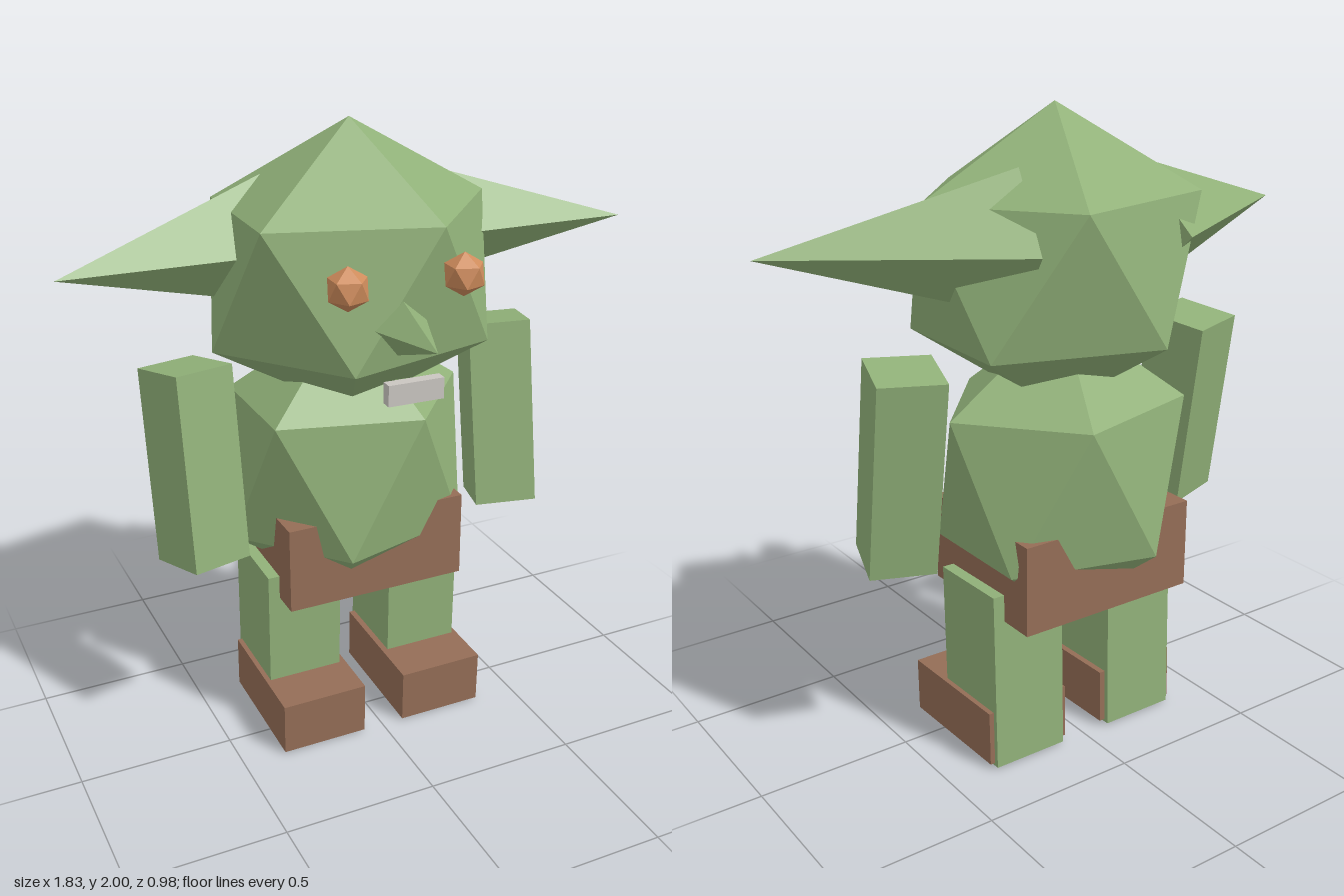
import * as THREE from 'three';

const material = (name, color) => {
  const m = new THREE.MeshStandardMaterial({ color });
  m.name = name;
  return m;
};

// Faceted ball with a corner pointing straight up and one ring corner toward +x
function facetBall() {
  return new THREE.IcosahedronGeometry(1, 0).rotateZ(-Math.atan(2 / (1 + Math.sqrt(5))));
}

// Four-sided spike with hard edges, pointing up
function spike(radius, length) {
  const g = new THREE.ConeGeometry(radius, length, 4).toNonIndexed();
  g.computeVertexNormals();
  return g;
}

export function createModel() {
  const model = new THREE.Group();
  model.name = 'creature';
  const skin = material('green skin', 0x90b078);
  const leather = material('brown leather', 0x946d56);
  const amber = material('amber eyes', 0xcf8c5c);
  const ivory = material('pale teeth', 0xc9c5c0);

  const add = (parent, name, geometry, mat, x, y, z) => {
    const mesh = new THREE.Mesh(geometry, mat);
    mesh.name = name;
    mesh.position.set(x, y, z);
    parent.add(mesh);
    return mesh;
  };
  const box = (w, h, d) => new THREE.BoxGeometry(w, h, d);

  // Torso and trousers; the belly pokes through the trouser walls
  add(model, 'torso', facetBall(), skin, 0, 0.893, -0.152).scale.set(0.447, 0.497, 0.38);
  add(model, 'trousers', box(0.61, 0.285, 0.5), leather, 0, 0.643, -0.155);

  // Head, turned very slightly
  const head = new THREE.Group();
  head.name = 'head';
  head.position.set(0, 1.535, -0.112);
  head.rotation.y = -0.035;
  model.add(head);
  add(head, 'skull', facetBall(), skin, 0, 0, 0).scale.set(0.505, 0.465, 0.44);
  add(head, 'nose', spike(0.125, 0.35).rotateX(Math.PI / 2), skin, 0.008, -0.075, 0.427);
  add(head, 'teeth', box(0.175, 0.065, 0.035), ivory, 0.004, -0.232, 0.463);

  // Limbs, ears and eyes on both sides
  for (const s of [1, -1]) {
    const side = s > 0 ? 'left' : 'right';

    add(head, side + 'Eye', facetBall(), amber, s * 0.18 + 0.004, 0.075, 0.407).scale.setScalar(0.066);

    // Ear runs from inside the skull out to a forward-swept tip
    const base = new THREE.Vector3(s * 0.2, 0.095, -0.12);
    const tip = new THREE.Vector3(s * 0.915, 0.095, 0.08);
    const dir = tip.clone().sub(base);
    const mid = base.clone().add(tip).multiplyScalar(0.5);
    const earShape = spike(0.212, dir.length()).rotateZ(-s * Math.PI / 2);
    const ear = add(head, side + 'Ear', earShape, skin, mid.x, mid.y, mid.z);
    ear.rotation.y = -s * Math.atan2(dir.z, Math.abs(dir.x));

    // Arm hangs with the hand end forward
    const arm = add(model, side + 'Arm', box(0.204, 0.62, 0.204), skin, s * 0.536, 0.987, -0.095);
    arm.rotation.set(-0.146, -s * 0.3, 0);

    const leg = add(model, side + 'Leg', box(0.252, 0.58, 0.285), skin, s * 0.217, 0.294, -0.15);
    leg.rotation.x = 0.025;
    const foot = add(model, side + 'Foot', box(0.288, 0.177, 0.43), leather, s * 0.215, 0.1, -0.067);
    foot.rotation.x = 0.025;
  }
  return model;
}
